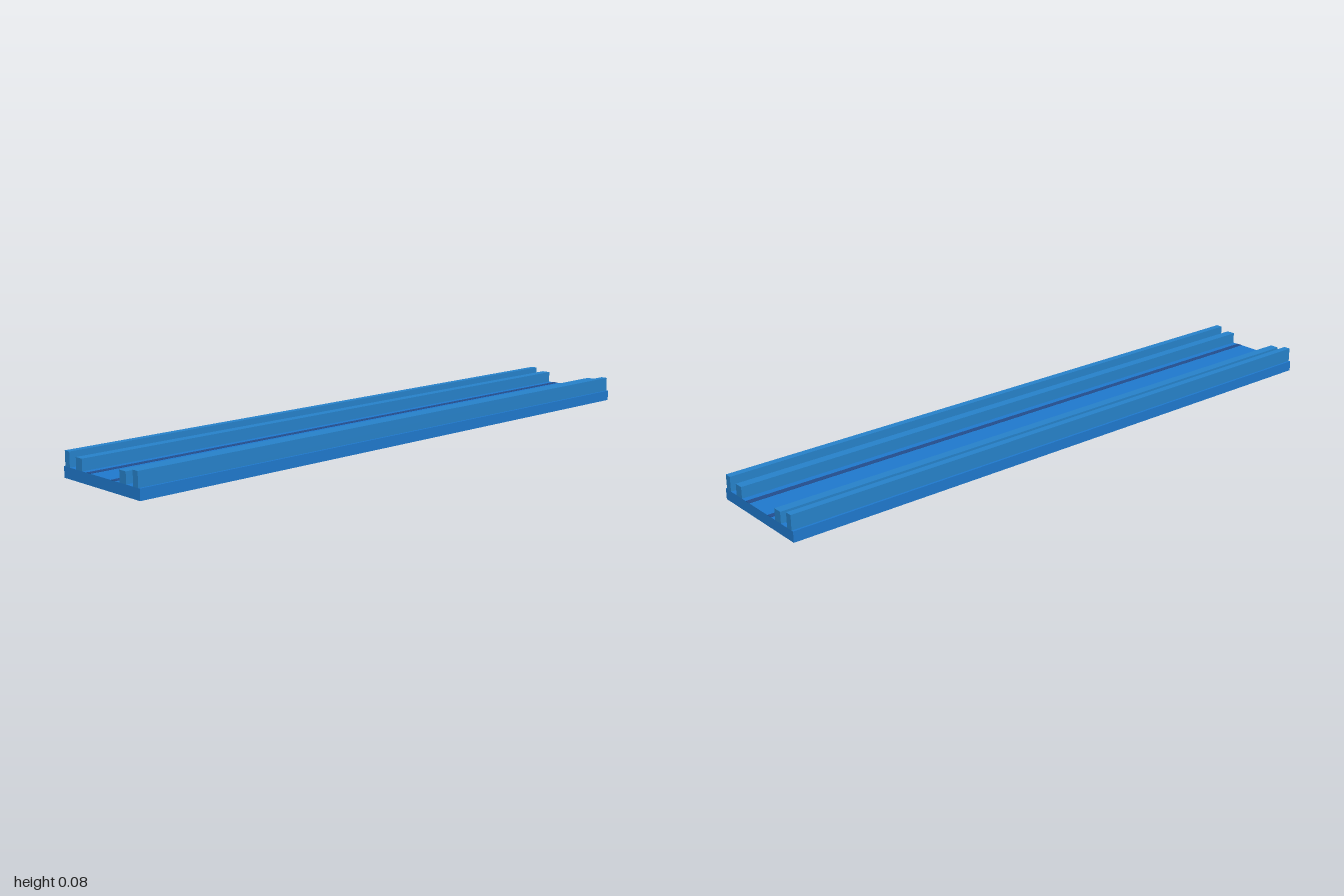
import * as THREE from 'three';

const LENGTH = 2;
const BASE_TOP = 0.033;

export function createModel() {
  const model = new THREE.Group();
  model.name = 'railTrack';

  const material = (name, color) => {
    const m = new THREE.MeshStandardMaterial({ color });
    m.name = name;
    return m;
  };
  const baseBlue = material('base blue', 0x1f78cc);
  const railBlue = material('rail blue', 0x2681c9);
  const stripeBlue = material('stripe navy', 0x224c8c);

  // Full-length bar between two x and two y positions
  const addBar = (name, x0, x1, y0, y1, mat) => {
    const mesh = new THREE.Mesh(new THREE.BoxGeometry(x1 - x0, y1 - y0, LENGTH), mat);
    mesh.position.set((x0 + x1) / 2, (y0 + y1) / 2, 0);
    mesh.name = name;
    model.add(mesh);
  };

  // The same bar on both sides
  const addPair = (name, inner, outer, y0, y1, mat) => {
    addBar(name + 'Left', inner, outer, y0, y1, mat);
    addBar(name + 'Right', -outer, -inner, y0, y1, mat);
  };

  addBar('base', -0.176, 0.176, 0, BASE_TOP, baseBlue);
  addPair('outerRail', 0.147, 0.169, BASE_TOP, 0.078, railBlue);
  addPair('innerRail', 0.087, 0.116, BASE_TOP, 0.068, railBlue);

  // Thin painted lines along the channel floor
  addPair('floorStripe', 0.048, 0.066, BASE_TOP, BASE_TOP + 0.001, stripeBlue);

  return model;
}
